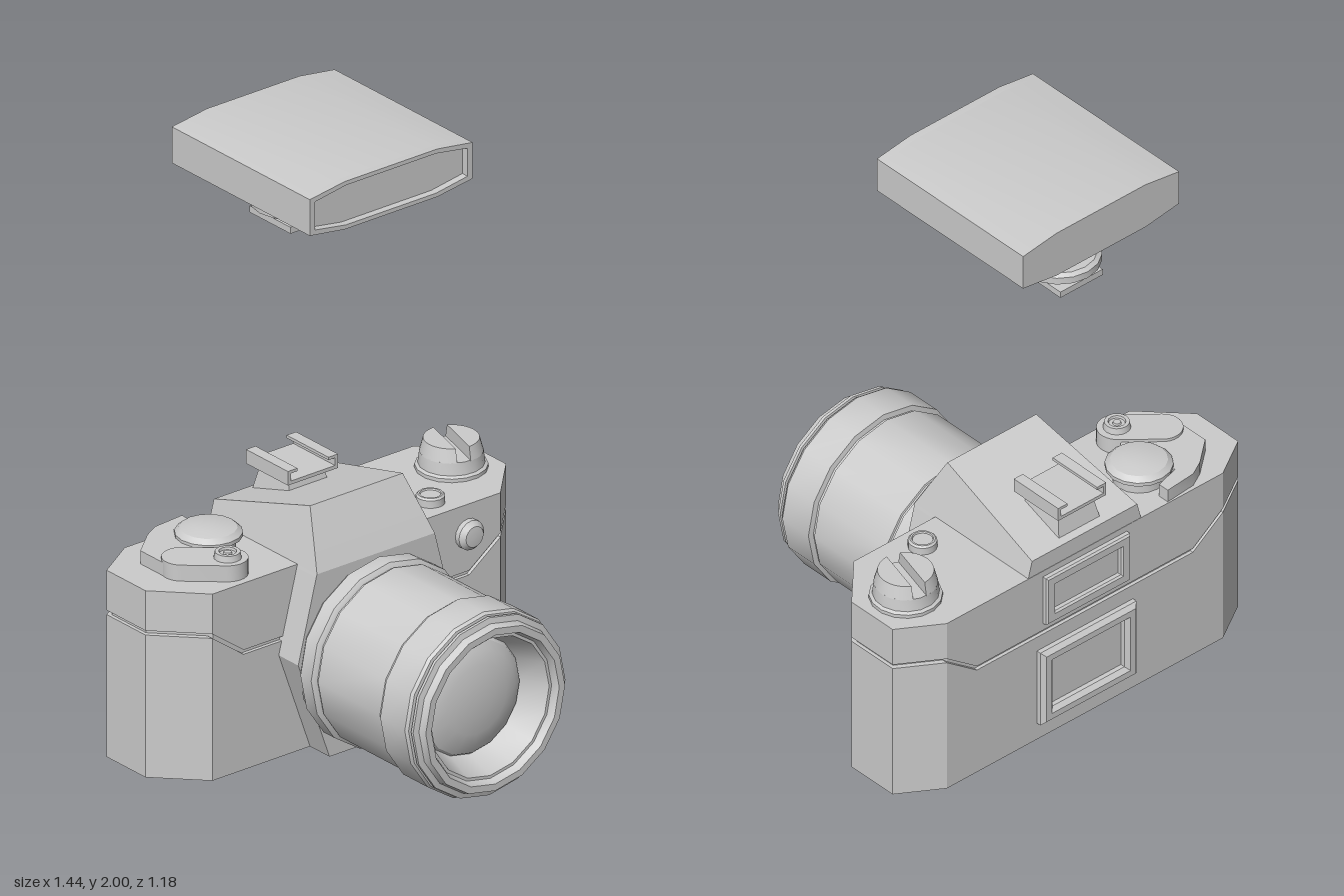
import * as THREE from 'three';
import { toCreasedNormals } from 'three/addons/utils/BufferGeometryUtils.js';

const grey = new THREE.MeshStandardMaterial({ color: 0xcccccc });
const V2 = (p) => new THREE.Vector2(p[0], p[1]);

export function createModel() {
  const model = new THREE.Group();
  const add = (name, geo, x = 0, y = 0, z = 0, parent = model) => {
    const m = new THREE.Mesh(geo, grey);
    m.name = name;
    m.position.set(x, y, z);
    parent.add(m);
    return m;
  };

  // Joins convex rings (counter-clockwise about the direction of travel) and caps both ends
  const loft = (rings) => {
    const pos = [];
    const tri = (...v) => v.forEach((p) => pos.push(...p));
    const n = rings[0].length;
    for (let k = 0; k < rings.length - 1; k++) {
      for (let i = 0; i < n; i++) {
        const j = (i + 1) % n;
        const [a, b, c, d] = [rings[k][i], rings[k][j], rings[k + 1][j], rings[k + 1][i]];
        tri(a, b, c);
        tri(a, c, d);
      }
    }
    const first = rings[0], last = rings[rings.length - 1];
    for (let i = 1; i < n - 1; i++) {
      tri(first[0], first[i + 1], first[i]);
      tri(last[0], last[i], last[i + 1]);
    }
    const g = new THREE.BufferGeometry();
    g.setAttribute('position', new THREE.Float32BufferAttribute(pos, 3));
    g.computeVertexNormals();
    return g;
  };
  // Turned part from [radius, height] points
  const turned = (points, seg = 16) => toCreasedNormals(new THREE.LatheGeometry(points.map(V2), seg), 0.5);
  // Horizontal plate from an outline in x, z
  const plate = (shape, h) =>
    toCreasedNormals(new THREE.ExtrudeGeometry(shape, { depth: h, bevelEnabled: false, curveSegments: 8 }), 0.5)
      .rotateX(-Math.PI / 2);
  const outline = (pts) => new THREE.Shape(pts.map(([x, z]) => new THREE.Vector2(x, -z)));
  const rect = (w, h, Type = THREE.Shape) =>
    new Type([[-w, -h], [w, -h], [w, h], [-w, h]].map(V2));

  // Body: octagonal footprint, split by a groove that dips towards the middle
  const body = (edges, inset = 0) => {
    const st = [[0.72, -0.43, -0.24, 0], [0.575, -0.52, -0.09, 0], [0.45, -0.52, -0.09, 1]];
    const all = [...st.map(([x, ...r]) => [-x, ...r]), ...st.reverse()];
    return loft(all.map(([x, zb, zf, dip]) => {
      const [lo, hi] = edges(dip);
      const X = x - Math.sign(x) * inset, F = zf - inset, B = zb + inset;
      return [[X, lo, F], [X, lo, B], [X, hi, B], [X, hi, F]];
    }));
  };
  add('lowerBody', body((d) => [0, 0.488 - 0.092 * d]));
  add('upperBody', body((d) => [0.503 - 0.092 * d, 0.64]));
  add('bodyGroove', body(() => [0.05, 0.6], 0.012));

  // Front plate and roof prism: [y, half width, front z, back z]
  add('prismHousing', loft([
    [0, 0.185, 0.005, -0.3], [0.35, 0.31, 0.005, -0.3], [0.63, 0.238, 0.005, -0.3],
    [0.64, 0.235, 0.005, -0.519], [0.7, 0.219, -0.025, -0.519], [0.825, 0.185, -0.09, -0.092],
  ].map(([y, w, f, b]) => [[w, y, f], [w, y, b], [-w, y, b], [-w, y, f]])));

  // Accessory shoe
  const shoe = new THREE.Group();
  shoe.name = 'accessoryShoe';
  model.add(shoe);
  add('shoeStem', loft([[0.68, 0.09, 0.095], [0.79, 0.07, 0.07]].map(([y, w, d]) =>
    [[w, y, d], [w, y, -d], [-w, y, -d], [-w, y, d]])), 0, 0, -0.405, shoe);
  add('shoePlate', new THREE.BoxGeometry(0.2, 0.012, 0.205), 0, 0.796, -0.405, shoe);
  for (const s of [-1, 1]) {
    add('shoeWall', new THREE.BoxGeometry(0.012, 0.046, 0.205), s * 0.094, 0.813, -0.405, shoe);
    add('shoeLip', new THREE.BoxGeometry(0.038, 0.01, 0.205), s * 0.081, 0.833, -0.405, shoe);
  }

  // Lens barrel, with a recessed cone inside
  add('lensBarrel', turned([
    [0.29, -0.02], [0.3, 0.005], [0.313, 0.02], [0.313, 0.072], [0.302, 0.08], [0.296, 0.082], [0.296, 0.09],
    [0.302, 0.092], [0.302, 0.395], [0.296, 0.397], [0.296, 0.406], [0.313, 0.41], [0.313, 0.53],
    [0.306, 0.54], [0.294, 0.542], [0.294, 0.548], [0.304, 0.55], [0.304, 0.56], [0.285, 0.565],
    [0.278, 0.59], [0.255, 0.59], [0.245, 0.565], [0.235, 0.565], [0.198, 0.46],
  ]).rotateX(Math.PI / 2), 0, 0.322, 0);
  const dome = [];
  for (let i = 0; i <= 5; i++) dome.push([0.2 * Math.cos(i * Math.PI / 10), 0.46 + 0.05 * Math.sin(i * Math.PI / 10)]);
  dome[5][0] = 0;
  add('lensGlass', turned(dome).rotateX(Math.PI / 2), 0, 0.322, 0);

  // Rewind knob: a turned base and two half caps with a slot between
  const knob = new THREE.Group();
  knob.name = 'rewindKnob';
  knob.position.set(0.575, 0.64, -0.33);
  knob.rotation.y = -0.27;
  model.add(knob);
  add('knobBase', turned([[0.115, 0], [0.115, 0.012], [0.105, 0.018], [0.1, 0.06], [0, 0.06]]), 0, 0, 0, knob);
  for (const s of [0, Math.PI]) {
    const half = new THREE.Shape();
    half.absarc(0, 0, 0.1, -1.34, 1.34, false);
    const g = plate(half, 0.045);
    const p = g.attributes.position;
    for (let i = 0; i < p.count; i++) {
      if (p.getY(i) > 0.02 && p.getX(i) > 0.03) p.setX(i, p.getX(i) * 0.88);
      if (p.getY(i) > 0.02) p.setZ(i, p.getZ(i) * 0.88);
    }
    add('knobHalf', toCreasedNormals(g, 0.5), 0, 0.058, 0, knob).rotation.y = s;
  }

  // Small buttons
  add('topButton', turned([[0.046, 0], [0.046, 0.025], [0.04, 0.031], [0.034, 0.031], [0.032, 0.026], [0, 0.026]]),
    0.365, 0.64, -0.175);
  add('frontButton', turned([[0.05, 0], [0.05, 0.02], [0.035, 0.036], [0, 0.04]]).rotateX(Math.PI / 2),
    0.445, 0.54, -0.092);

  // Wind lever with its dome
  add('windLever', plate(outline([
    [-0.61, -0.27], [-0.5, -0.2], [-0.4, -0.24], [-0.33, -0.36], [-0.44, -0.45], [-0.35, -0.475],
    [-0.35, -0.515], [-0.465, -0.505], [-0.52, -0.475], [-0.61, -0.4],
  ]), 0.045), 0, 0.64, 0);
  add('windDome', turned([[0.085, 0], [0.085, 0.035], [0.107, 0.042], [0.107, 0.055], [0.09, 0.07], [0.05, 0.078], [0, 0.08]]),
    -0.37, 0.64, -0.36);

  // Shutter release on a rounded bar
  const bar = new THREE.Shape();
  bar.absarc(-0.07, 0, 0.065, Math.PI / 2, Math.PI * 1.5, false);
  bar.absarc(0.07, 0, 0.065, -Math.PI / 2, Math.PI / 2, false);
  add('shutterBar', plate(bar, 0.055), -0.495, 0.64, -0.225).rotation.y = -0.72;
  add('shutterButton', turned([
    [0.044, 0], [0.04, 0.022], [0.028, 0.022], [0.026, 0.014], [0.014, 0.014], [0.012, 0.02], [0, 0.02],
  ]), -0.443, 0.694, -0.177);

  // Rear frames
  const frame = (name, w, h, y, zOut, bevel, rim) => {
    const s = rect(w - bevel, h - bevel);
    s.holes.push(rect(w - rim, h - rim, THREE.Path));
    const g = new THREE.ExtrudeGeometry(s, {
      depth: 0.04, bevelEnabled: true, bevelSize: bevel, bevelThickness: bevel, bevelSegments: 1,
    });
    add(name, g, 0, y, zOut + bevel);
  };
  frame('eyepieceFrame', 0.175, 0.09, 0.528, -0.54, 0.006, 0.032);
  frame('rearPanelFrame', 0.2, 0.14, 0.203, -0.55, 0.014, 0.036);

  // Flash unit floating above the shoe
  const flash = new THREE.Group();
  flash.name = 'flash';
  model.add(flash);
  const head = (w, h, mid, Type = THREE.Shape) => new Type([
    [-w, -h], [-mid, -h - 0.02], [mid, -h - 0.02], [w, -h],
    [w, h], [mid, h + 0.02], [-mid, h + 0.02], [-w, h],
  ].map(V2));
  const extrude = (s, depth) => toCreasedNormals(new THREE.ExtrudeGeometry(s, { depth, bevelEnabled: false }), 0.5);
  add('flashHead', extrude(head(0.325, 0.062, 0.185), 0.65), 0, 1.918, -0.595, flash);
  const rim = head(0.325, 0.062, 0.185);
  rim.holes.push(head(0.305, 0.048, 0.18, THREE.Path));
  add('flashRim', extrude(rim, 0.025), 0, 1.918, 0.055, flash);

  // Neck narrows towards its foot
  const neck = new THREE.ExtrudeGeometry(new THREE.Shape([
    [0.1, 1.845], [0.1, 1.785], [0.28, 1.785], [0.315, 1.745], [0.495, 1.745], [0.57, 1.845],
  ].map(V2)), { depth: 2, bevelEnabled: false }).translate(0, 0, -1).rotateY(Math.PI / 2);
  const np = neck.attributes.position;
  for (let i = 0; i < np.count; i++) np.setX(i, np.getX(i) * (0.09 + (np.getY(i) - 1.745) * 0.38));
  neck.computeVertexNormals();
  add('flashNeck', neck, 0, 0, 0, flash);
  add('lockRing', turned([
    [0, 1.66], [0.05, 1.66], [0.05, 1.69], [0.12, 1.69], [0.134, 1.698], [0.134, 1.722], [0.12, 1.732],
    [0.09, 1.732], [0.09, 1.75],
  ]), 0, 0, -0.4, flash);
  add('flashFoot', new THREE.BoxGeometry(0.176, 0.022, 0.2), 0, 1.66, -0.405, flash);

  return model;
}
